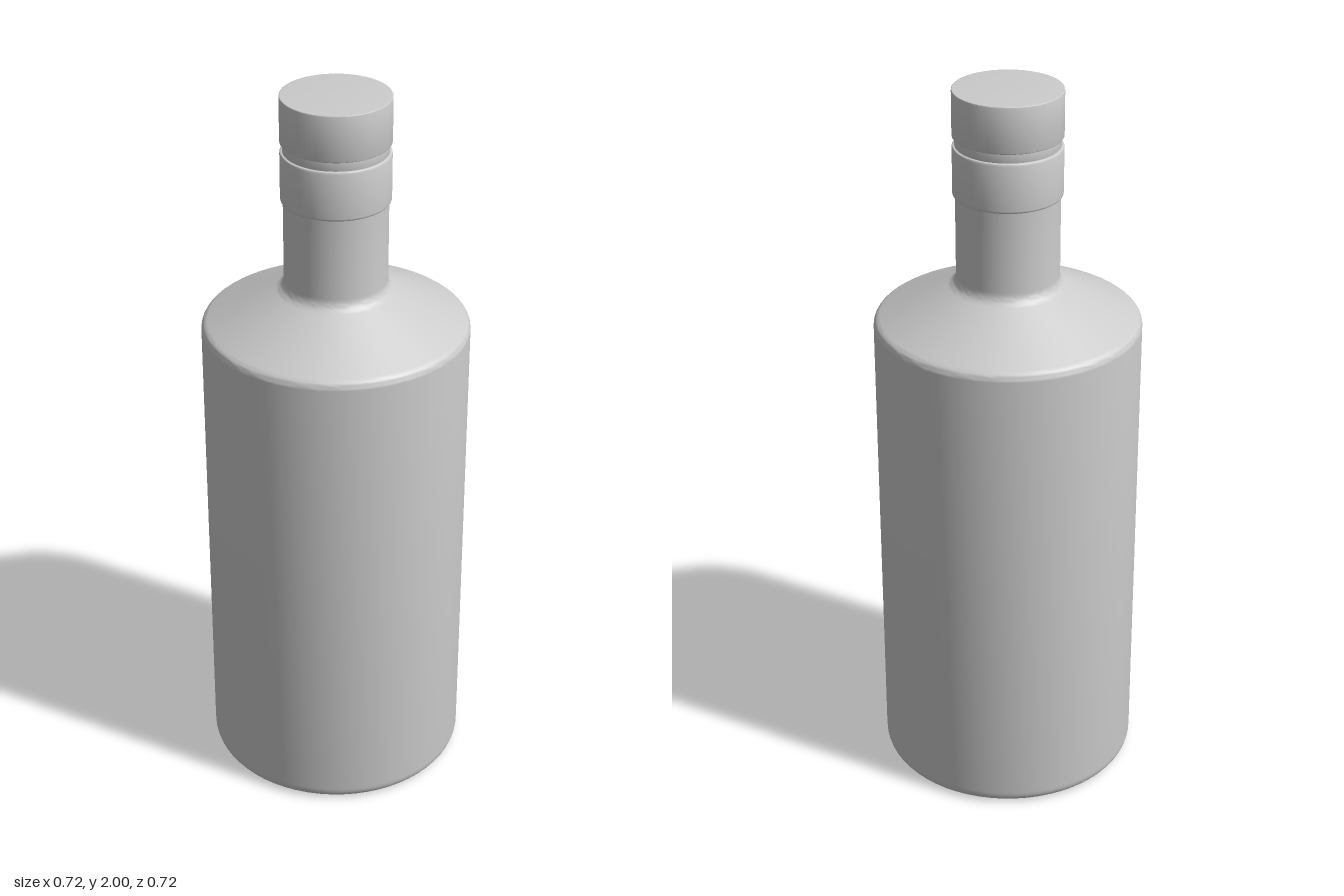
import * as THREE from 'three';
import { toCreasedNormals } from 'three/addons/utils/BufferGeometryUtils.js';

const SEGMENTS = 64;

// Build a smooth profile path, bottom to top, and spin it around the y axis
function turned(name, draw, material) {
  const path = new THREE.Path();
  draw(path);
  const lathe = new THREE.LatheGeometry(path.getPoints(6), SEGMENTS);
  const mesh = new THREE.Mesh(toCreasedNormals(lathe, 0.6), material);
  mesh.name = name;
  return mesh;
}

// Closed drum with slightly softened rims
function drum(name, radius, bottom, top, bevel, material) {
  return turned(name, (p) => {
    p.moveTo(0, bottom);
    p.lineTo(radius - bevel, bottom);
    p.quadraticCurveTo(radius, bottom, radius, bottom + bevel);
    p.lineTo(radius, top - bevel);
    p.quadraticCurveTo(radius, top, radius - bevel, top);
    p.lineTo(0, top);
  }, material);
}

export function createModel() {
  const group = new THREE.Group();
  group.name = 'bottle';
  const material = new THREE.MeshStandardMaterial({ color: 0xcccccc });

  // Body, sloping shoulder and neck in one profile
  group.add(turned('bottleBody', (p) => {
    p.moveTo(0, 0);
    p.lineTo(0.325, 0);
    p.quadraticCurveTo(0.36, 0, 0.36, 0.035);
    p.lineTo(0.36, 1.345);
    p.quadraticCurveTo(0.36, 1.362, 0.343, 1.37);
    p.lineTo(0.16, 1.458);
    p.quadraticCurveTo(0.138, 1.468, 0.138, 1.492);
    p.lineTo(0.138, 1.72);
    p.lineTo(0, 1.72);
  }, material));

  // Closure: collar, recessed ring and cap
  group.add(drum('collar', 0.145, 1.715, 1.85, 0.006, material));
  group.add(drum('recessedRing', 0.138, 1.845, 1.88, 0.001, material));
  group.add(drum('cap', 0.145, 1.875, 2, 0.003, material));

  return group;
}
